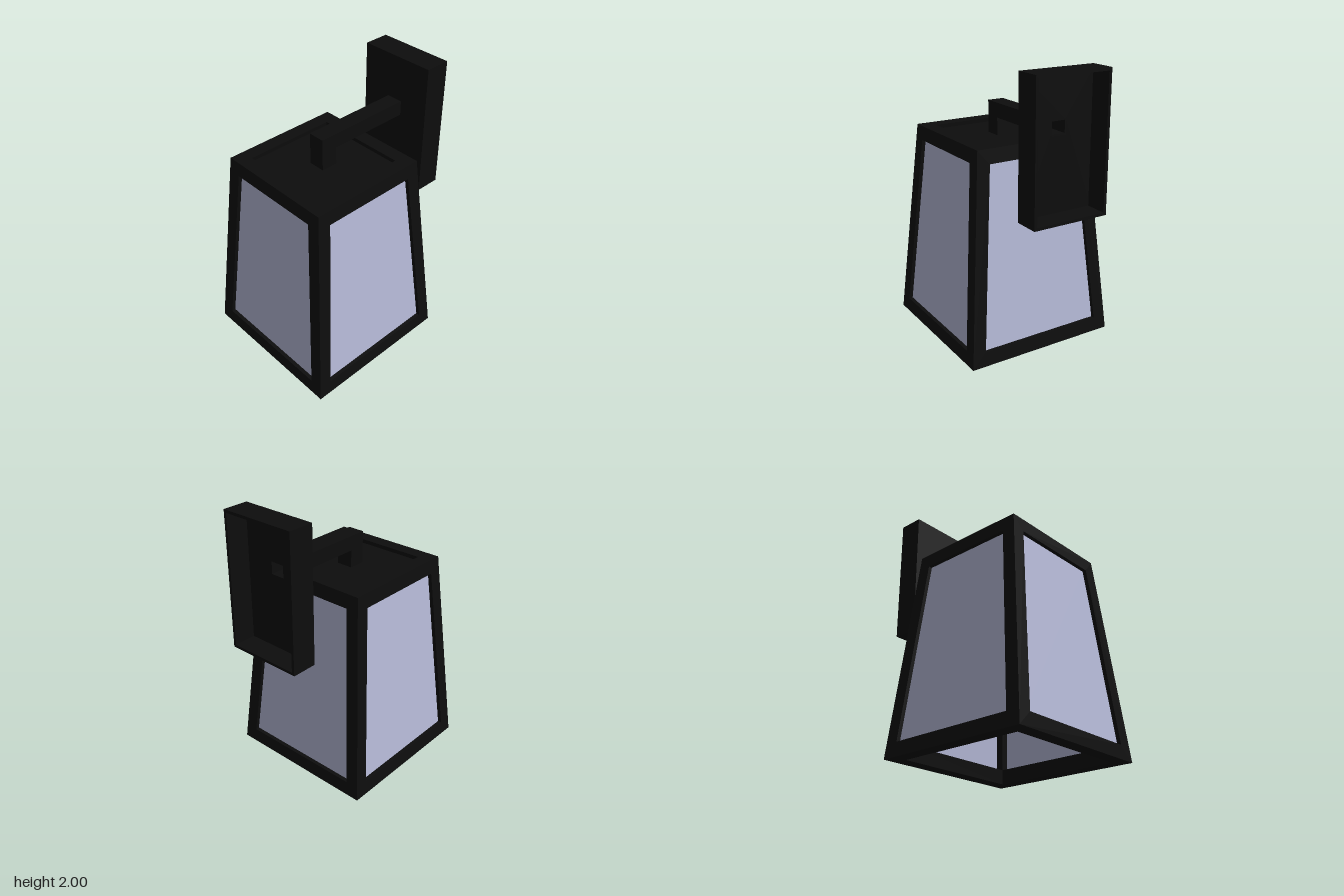
import * as THREE from 'three';

const HEIGHT = 1.48, BAR = 0.1, CENTRE_Z = 0.145;
// half width of the tapered lantern body at height y
const half = (y) => 0.565 - (0.13 * y) / HEIGHT;

const black = new THREE.MeshStandardMaterial({ color: 0x0d0d0d });
const glassMat = new THREE.MeshStandardMaterial({ color: 0xb6bad8, side: THREE.DoubleSide });
const bulbMat = new THREE.MeshStandardMaterial({ color: 0xcccccc });

function mesh(name, geometry, material = black) {
  const m = new THREE.Mesh(geometry, material);
  m.name = name;
  return m;
}

function box(name, w, h, d, x, y, z) {
  const m = mesh(name, new THREE.BoxGeometry(w, h, d));
  m.position.set(x, y, z);
  return m;
}

const points = (list) => list.map(([x, y]) => new THREE.Vector2(x, y));
const trapezoid = (y0, y1, inset) => points([
  [inset - half(y0), y0], [half(y0) - inset, y0],
  [half(y1) - inset, y1], [inset - half(y1), y1],
]);
const rect = (w, y0, y1) => points([[-w, y0], [w, y0], [w, y1], [-w, y1]]);

function slab(outline, hole, depth) {
  const shape = new THREE.Shape(outline);
  if (hole) shape.holes.push(new THREE.Path(hole));
  return new THREE.ExtrudeGeometry(shape, { depth, bevelEnabled: false });
}

// lean a slab onto the sloping side; its outer ends are mitred to meet the neighbours
function leanOnSide(geometry, depth, recess) {
  const p = geometry.attributes.position;
  for (let i = 0; i < p.count; i++) {
    const x = p.getX(i), y = p.getY(i);
    const t = recess + depth - p.getZ(i);
    if (Math.abs(x) > half(y) - 0.001) p.setX(i, Math.sign(x) * (half(y) - t));
    p.setZ(i, half(y) - t);
  }
  geometry.computeVertexNormals();
  return geometry;
}

export function createModel() {
  const model = new THREE.Group();
  model.name = 'wallLantern';

  // tapered lantern body: four framed glass sides
  const lantern = new THREE.Group();
  lantern.name = 'lantern';
  lantern.position.z = CENTRE_Z;
  model.add(lantern);

  const opening = trapezoid(BAR, HEIGHT - BAR, 0.095);
  const frameGeo = leanOnSide(slab(trapezoid(0, HEIGHT, 0), opening, BAR), BAR, 0);
  const glassGeo = leanOnSide(slab(trapezoid(0.08, HEIGHT - 0.08, 0.08), null, 0.015), 0.015, 0.028);
  ['front', 'left', 'back', 'right'].forEach((name, i) => {
    const side = new THREE.Group();
    side.name = name + 'Side';
    side.rotation.y = (i * Math.PI) / 2;
    side.add(mesh('sideFrame', frameGeo), mesh('glassPane', glassGeo, glassMat));
    lantern.add(side);
  });

  // recessed roof plate
  lantern.add(box('roofPlate', 0.69, 0.03, 0.69, 0, 1.435, 0));

  // lamp holder and bulb hanging inside
  const holder = mesh('lampHolder', new THREE.CylinderGeometry(0.06, 0.06, 0.67, 24));
  holder.position.y = 1.1;
  const profile = new THREE.SplineCurve(points([
    [0, 0.33], [0.06, 0.35], [0.1, 0.43], [0.09, 0.54], [0.055, 0.66], [0.05, 0.78],
  ])).getPoints(24);
  profile[0].x = 0;
  lantern.add(holder, mesh('bulb', new THREE.LatheGeometry(profile, 24), bulbMat));

  // bracket: short post and hollow arm
  model.add(box('armPost', 0.12, 0.24, 0.12, 0, 1.56, CENTRE_Z));
  const arm = mesh('arm', slab(rect(0.06, 1.575, 1.68), rect(0.05, 1.585, 1.67), 0.635));
  arm.position.z = -0.55;
  model.add(arm);

  // wall plate: shallow shell, open at the back, with a cable hole into the arm
  const plate = new THREE.Group();
  plate.name = 'wallPlate';
  const face = mesh('plateFace', slab(rect(0.28, 1.04, 2), rect(0.055, 1.58, 1.675), 0.025));
  face.position.z = -0.55;
  const rim = mesh('plateRim', slab(rect(0.28, 1.04, 2), rect(0.26, 1.06, 1.98), 0.16));
  rim.position.z = -0.71;
  plate.add(face, rim);
  model.add(plate);

  return model;
}
